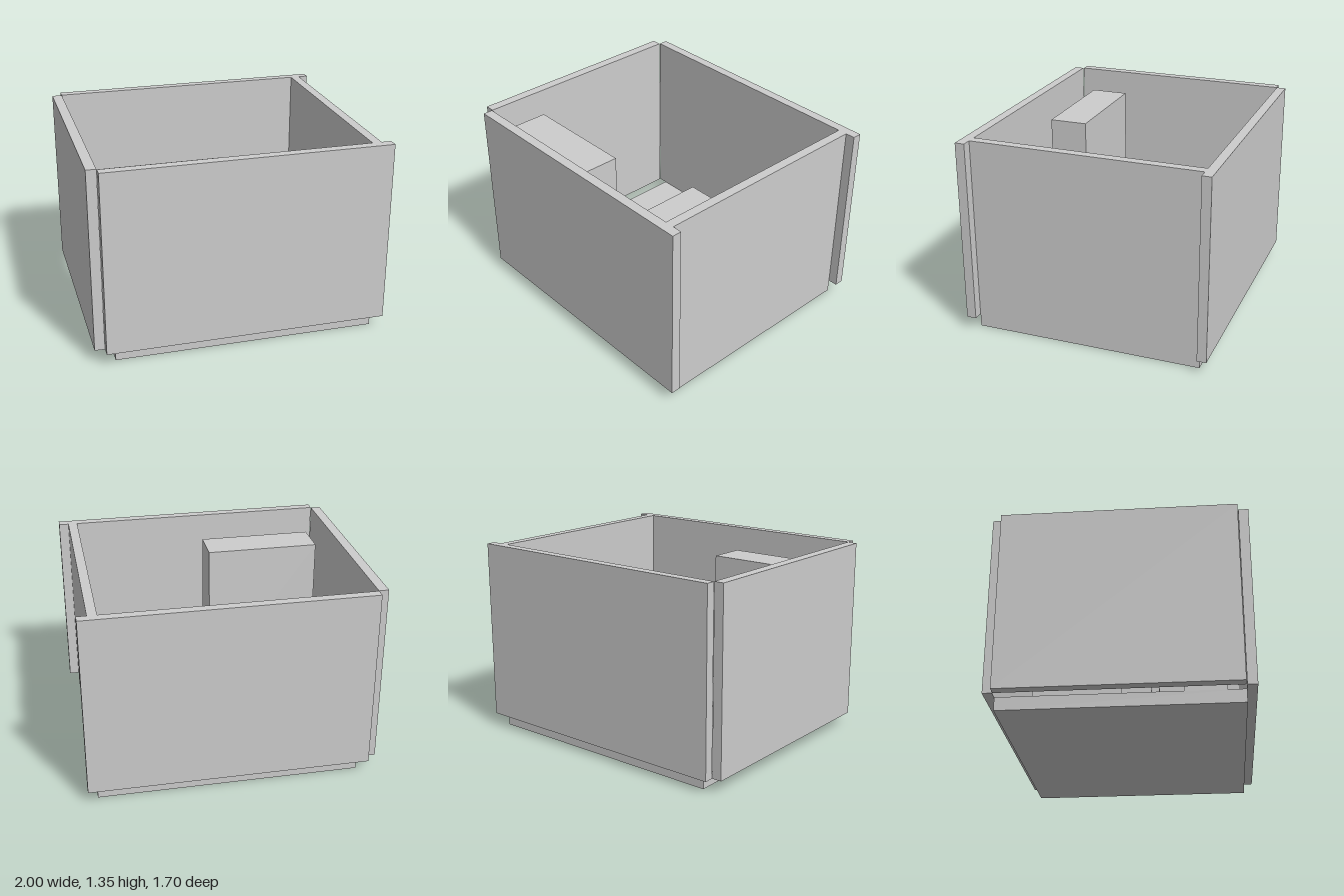
import * as THREE from 'three';

export function createModel() {
  const model = new THREE.Group();
  model.name = 'room';
  const plaster = new THREE.MeshStandardMaterial({ color: 0xcccccc });
  plaster.name = 'light grey';

  // Adds a box given its extents along each axis
  function block(name, [x0, x1], [y0, y1], [z0, z1], parent = model) {
    const mesh = new THREE.Mesh(new THREE.BoxGeometry(x1 - x0, y1 - y0, z1 - z0), plaster);
    mesh.position.set((x0 + x1) / 2, (y0 + y1) / 2, (z0 + z1) / 2);
    mesh.name = name;
    parent.add(mesh);
    return mesh;
  }

  const floorTop = 0.09;
  const wallTop = 1.35;
  const wallSpan = [floorTop, wallTop];

  // Floor slab and the four walls; the right wall stands clear of the slab
  block('floor', [-0.865, 0.866], [0, floorTop], [-0.788, 0.786]);
  block('leftWall', [0.866, 0.93], [0, wallTop], [-0.788, 0.786]);
  block('rightWall', [-1, -0.932], wallSpan, [-0.785, 0.78]);
  block('frontWall', [-0.932, 0.997], wallSpan, [0.786, 0.852]);
  block('backWall', [-0.932, 0.997], wallSpan, [-0.852, -0.788]);

  // Tall wardrobe near the front wall
  block('wardrobe', [-0.865, -0.058], [floorTop, 1.2], [0.4, 0.668]);

  // Bed: base with a slightly inset mattress
  const bed = new THREE.Group();
  bed.name = 'bed';
  model.add(bed);
  block('bedBase', [-0.396, 0.322], [floorTop, 0.24], [-0.653, 0.24], bed);
  block('mattress', [-0.385, 0.317], [0.24, 0.34], [-0.643, 0.22], bed);

  // Bedside table with an overhanging top
  const table = new THREE.Group();
  table.name = 'bedsideTable';
  model.add(table);
  block('tableBody', [-0.562, -0.396], [floorTop, 0.36], [-0.02, 0.178], table);
  block('tableTop', [-0.572, -0.373], [0.36, 0.38], [-0.022, 0.178], table);

  return model;
}
